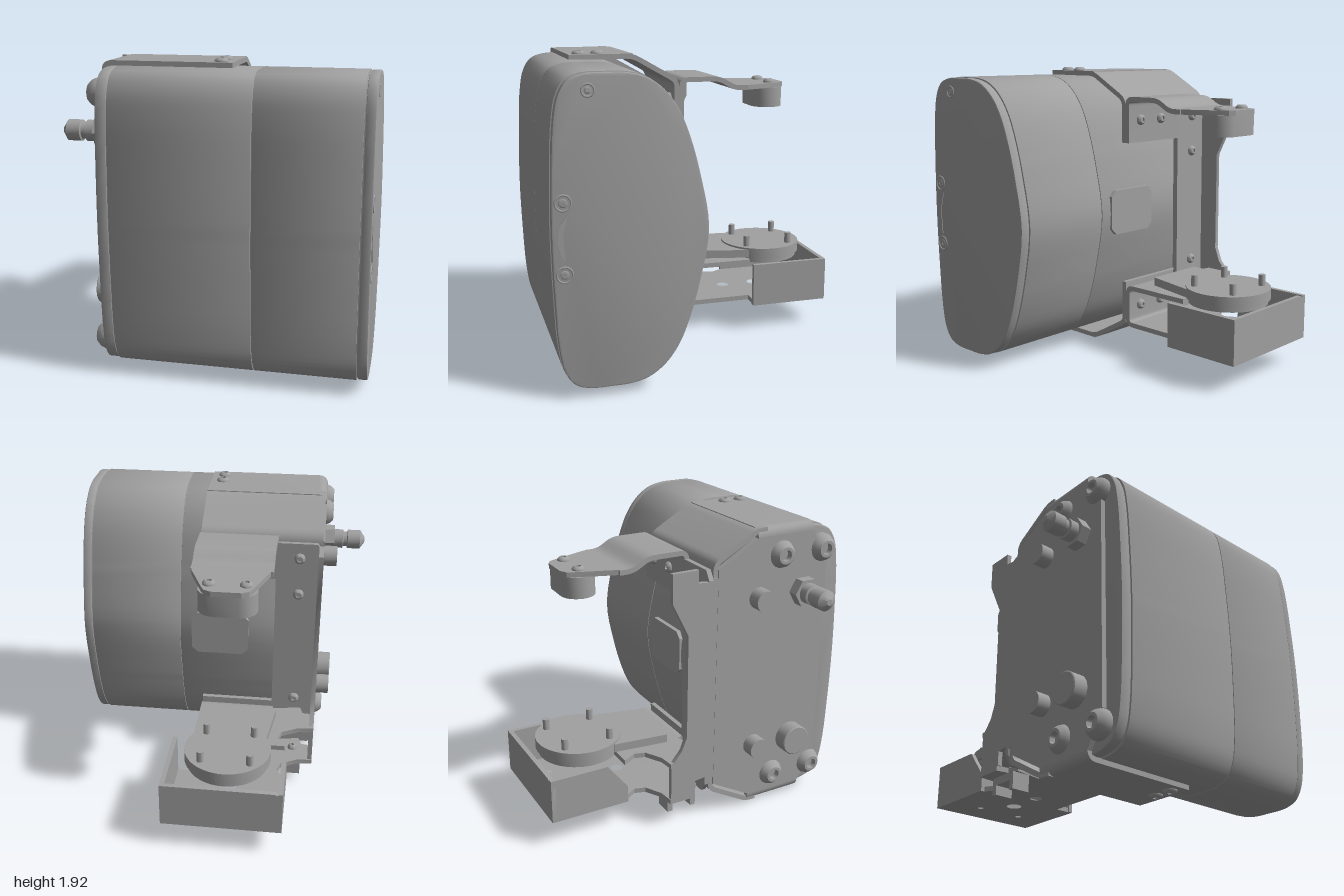
import * as THREE from 'three';
import { toCreasedNormals } from 'three/addons/utils/BufferGeometryUtils.js';

const MID = 0.975; // height of the mirror plane
const flip = pts => pts.map(([a, y]) => [a, 2 * MID - y]);
const V = (a, b) => new THREE.Vector2(a, b);

export function createModel() {
  const root = new THREE.Group();
  const grey = new THREE.MeshStandardMaterial({ color: 0xa0a0a0 });
  grey.name = 'metalGrey';

  const add = (name, geo, parent = root) => {
    const m = new THREE.Mesh(geo, grey);
    m.name = name;
    parent.add(m);
    return m;
  };
  const group = name => {
    const g = new THREE.Group();
    g.name = name;
    root.add(g);
    return g;
  };
  const extrude = (pts, depth, bevel = 0, holes = []) => {
    const s = new THREE.Shape(pts);
    s.holes = holes;
    const g = new THREE.ExtrudeGeometry(s, {
      depth: depth - 2 * bevel, bevelEnabled: bevel > 0, bevelSize: bevel,
      bevelThickness: bevel, bevelOffset: -bevel, bevelSegments: 2, curveSegments: 20,
    });
    g.translate(0, 0, bevel);
    return toCreasedNormals(g, 0.5);
  };
  // outlines given as [z, y], [x, z] or [x, y], swept along the third axis
  const alongX = (pts, x0, x1, bevel) =>
    extrude(pts.map(([z, y]) => V(-z, y)), x1 - x0, bevel).rotateY(Math.PI / 2).translate(x0, 0, 0);
  const alongY = (pts, y0, y1, holes) =>
    extrude(pts.map(([x, z]) => V(x, -z)), y1 - y0, 0, holes).rotateX(-Math.PI / 2).translate(0, y0, 0);
  const alongZ = (pts, z0, z1) => extrude(pts.map(([x, y]) => V(x, y)), z1 - z0).translate(0, 0, z0);

  // round the inner corners of an open path
  const fillet = (pts, r) => {
    const p = pts.map(q => V(...q)), out = [p[0]];
    for (let i = 1; i < p.length - 1; i++) {
      const a = p[i - 1].clone().sub(p[i]).setLength(r).add(p[i]);
      const b = p[i + 1].clone().sub(p[i]).setLength(r).add(p[i]);
      out.push(...new THREE.QuadraticBezierCurve(a, p[i], b).getPoints(6));
    }
    out.push(p[p.length - 1]);
    return out;
  };
  // bent sheet metal: thicken a path to a closed outline
  const sheet = (pts, t = 0.032, r = 0.045) => {
    const p = fillet(pts, r), left = [], right = [];
    p.forEach((q, i) => {
      const d = p[Math.min(i + 1, p.length - 1)].clone().sub(p[Math.max(i - 1, 0)]).setLength(t / 2);
      left.push([q.x - d.y, q.y + d.x]);
      right.unshift([q.x + d.y, q.y - d.x]);
    });
    return [...left, ...right];
  };
  const place = (mesh, pos, dir) => {
    mesh.position.set(...pos);
    mesh.quaternion.setFromUnitVectors(new THREE.Vector3(0, 1, 0), new THREE.Vector3(...dir));
    return mesh;
  };
  const lathe = (name, pts, pos, dir, parent, seg = 28) => place(add(name,
    toCreasedNormals(new THREE.LatheGeometry(pts.map(p => V(...p)), seg), 0.6), parent), pos, dir);
  const screw = (pos, dir, r, h, parent) => lathe('screw', [[r, 0], [r, h * 0.3], [r * 0.85, h * 0.7],
    [r * 0.6, h], [r * 0.4, h], [r * 0.4, h * 0.5], [0, h * 0.5]], pos, dir, parent, 24);
  const cyl = (name, r, h, pos, dir, parent, seg = 32) => lathe(name, [[0, 0], [r, 0], [r, h], [0, h]], pos, dir, parent, seg);

  // housing: one rounded outline cut into sections by narrow grooves
  const half = [[1, MID], [0.993, 1.3], [0.975, 1.62], [0.945, 1.77], [0.89, 1.85], [0.8, 1.882], [0.68, 1.885],
    [0.56, 1.882], [0.45, 1.855], [0.35, 1.785], [0.27, 1.68], [0.205, 1.53], [0.135, 1.28], [0.085, MID]];
  const ring = [...half, ...flip(half).slice(1, -1).reverse()];
  const curve = new THREE.CatmullRomCurve3(ring.map(([z, y]) => new THREE.Vector3(z, y, 0)), true);
  const outline = (inset = 0) => curve.getPoints(110).slice(0, -1).map(p => [
    0.54 + (p.x - 0.54) * (1 - inset / 0.46), MID + (p.y - MID) * (1 - inset / 0.91)]);
  const housing = group('housing');
  add('core', alongX(outline(0.012), -0.64, 0.93), housing);
  [[-0.65, -0.582, 0.006], [-0.576, 0.268, 0], [0.273, 0.886, 0], [0.893, 0.95, 0.004]].forEach(([a, b, inset], i) =>
    add('housingSection' + (i + 1), alongX(outline(inset), a, b, i % 3 ? 0.002 : 0.008), housing));

  // end cap fittings
  for (const [z, y, r] of [[0.93, 1.18, 0.045], [0.93, 0.77, 0.045], [0.78, 1.79, 0.035]]) {
    const t = add('capRing', new THREE.TorusGeometry(r, 0.006, 8, 24).rotateY(Math.PI / 2));
    t.position.set(0.949, y, z);
    screw([0.945, y, z], [1, 0, 0], r * 0.65, 0.008, root);
  }
  add('capRecess', alongX([[0.9, 1.12], [0.95, 1.06], [0.968, 0.98], [0.955, 0.9], [0.925, 0.84], [0.935, 1.0]], 0.945, 0.954));

  // pad on the back of the housing
  const pad = [[-0.2, 0.87], [-0.16, 0.83], [0.15, 0.83], [0.19, 0.87], [0.19, 1.09], [0.15, 1.13], [-0.16, 1.13], [-0.2, 1.09]];
  add('rearPad', alongZ(pad, 0.073, 0.13));

  // bracket clamped around the housing, top and bottom alike
  const bracket = group('housingBracket');
  add('sidePlate', alongX([[0.74, 1.86], [0.34, 1.86], [0.055, 1.7], [0.055, 0.25], [0.34, 0.09], [0.74, 0.09], [0.86, 0.3], [0.86, 1.65]],
    -0.682, -0.648), bracket);
  for (const side of [p => p, flip]) {
    const up = side === flip ? -1 : 1;
    const y = v => side([[0, v]])[0][1];
    add('flange', alongZ(sheet(side([[-0.665, 1.8], [-0.665, 1.9], [0.11, 1.9]])), 0.33, 0.74), bracket);
    add('slopedFlange', alongX(sheet(side([[0.4, 1.9], [0.33, 1.9], [0.039, 1.735], [0.039, 1.45]])), -0.672, 0.11), bracket);
    for (const z of [0.545, 0.665]) screw([0.03, y(1.913), z], [0, up, 0], 0.042, 0.024, bracket);
    for (const z of [0.51, 0.82]) screw([-0.65, y(1.735), z], [-1, 0, 0], 0.09, 0.08, bracket);
    cyl('sidePin', 0.068, 0.12, [-0.65, y(1.48), 0.35], [-1, 0, 0], bracket);
  }
  add('backStrip', alongZ([[-0.68, 0.3], [-0.41, 0.3], [-0.41, 1.65], [-0.68, 1.65]], 0.023, 0.055), bracket);

  // connector and knob on the end
  const plug = group('connector');
  cyl('hexNut', 0.095, 0.1, [-0.65, 1.48, 0.675], [-1, 0, 0], plug, 6);
  lathe('plug', [[0.065, 0], [0.065, 0.06], [0.052, 0.065], [0.052, 0.09], [0.065, 0.095], [0.065, 0.18], [0.02, 0.212], [0, 0.212]],
    [-0.748, 1.48, 0.675], [-1, 0, 0], plug);
  lathe('knob', [[0.11, 0], [0.11, 0.025], [0.1, 0.03], [0.1, 0.125], [0.094, 0.13], [0, 0.13]], [-0.645, 0.46, 0.64], [-1, 0, 0], root);

  // yoke: upright with a stiffening flange, joining upper and lower arms
  const yoke = group('yoke');
  add('upright', alongZ([[-0.68, 0.26], [-0.64, 0.2], [-0.38, 0.2], [-0.38, 1.7], [-0.64, 1.7], [-0.68, 1.64]], -0.008, 0.023), yoke);
  add('uprightFlange', alongX([[0.01, 1.63], [-0.08, 1.64], [-0.08, 1.72], [-0.255, 1.72], [-0.255, 1.54], [-0.145, 1.32],
    [-0.145, 0.64], [-0.18, 0.55], [-0.255, 0.46], [-0.255, 0.22], [-0.08, 0.22], [-0.08, 0.31], [0.01, 0.32]], -0.68, -0.65), yoke);
  for (const y of [1.6, 1.35, 0.56, 0.33]) {
    const xs = y === 1.6 || y === 0.33 ? [-0.53, -0.2, 0] : [-0.53];
    for (const x of xs) {
      screw([x, y, -0.008], [0, 0, -1], 0.035, 0.025, yoke);
      screw([x, y, 0.05], [0, 0, 1], 0.05, 0.035, yoke);
    }
  }

  // upper arm with its rounded end block
  const upper = group('upperArm');
  add('bentArm', alongX(sheet([[0.008, 1.45], [0.008, 1.74], [-0.255, 1.74], [-0.36, 1.677], [-0.45, 1.677]]), -0.39, 0.11), upper);
  add('armTip', alongY([[-0.39, -0.4], [-0.29, -0.7], [-0.27, -0.74], [-0.23, -0.762], [-0.05, -0.762], [-0.01, -0.74],
    [0.01, -0.7], [0.1, -0.47], [0.11, -0.4]], 1.661, 1.693), upper);
  const block = [];
  for (let i = 0; i <= 24; i++) {
    const a = i / 24 * Math.PI * 2;
    block.push([-0.14 + (Math.cos(a) >= 0 ? 0.07 : -0.07) + Math.cos(a) * 0.108, -0.648 + Math.sin(a) * 0.108]);
  }
  add('endBlock', alongY(block, 1.53, 1.662), upper);
  for (const x of [-0.25, -0.03]) screw([x, 1.692, -0.655], [0, 1, 0], 0.04, 0.024, upper);

  // lower arm: two plates joined by a bend
  const lower = group('lowerArm');
  add('bend', alongX(sheet([[-0.25, 0.464], [0.008, 0.464], [0.008, 0.205], [-0.25, 0.205]]), -0.39, 0.11), lower);
  const plan = [[-0.68, -0.09], [-0.68, -0.26], [-0.58, -0.27], [-0.47, -0.33], [-0.45, -0.4], [-0.5, -0.49], [0.11, -0.49],
    [0.11, -0.05], [-0.36, -0.05], [-0.58, -0.01], [-0.6, -0.08]];
  const hole = (x, z, r) => new THREE.Path().absarc(x, -z, r, 0, Math.PI * 2, true);
  add('upperPlate', alongY(plan, 0.448, 0.48), lower);
  add('lowerPlate', alongY(plan, 0.189, 0.221, [hole(-0.15, -0.2, 0.04), hole(-0.15, -0.38, 0.04)]), lower);
  add('neck', alongY([[-0.42, -0.14], [0, -0.14], [0.08, -0.5], [-0.38, -0.5]], 0.485, 0.54), lower);

  // turntable disc with pins
  const table = group('turntable');
  cyl('discMount', 0.26, 0.035, [-0.145, 0.448, -0.655], [0, 1, 0], table, 48);
  cyl('disc', 0.276, 0.072, [-0.145, 0.48, -0.655], [0, 1, 0], table, 56);
  for (const x of [-0.3, 0.01]) for (const z of [-0.5, -0.81]) cyl('pin', 0.022, 0.075, [x, 0.55, z], [0, 1, 0], table, 16);

  // tray below the turntable
  const tray = group('tray');
  add('trayFloor', alongY([[-0.52, -0.48], [-0.52, -1], [0.24, -1], [0.24, -0.48]], 0.189, 0.221,
    [hole(-0.15, -0.62, 0.05), hole(-0.3, -0.8, 0.02), hole(0.02, -0.8, 0.02)]), tray);
  add('trayBack', alongZ([[-0.52, 0.19], [0.24, 0.19], [0.24, 0.48], [-0.47, 0.48], [-0.505, 0.465], [-0.52, 0.43]], -1, -0.97), tray);
  add('trayRightWall', alongX([[-0.47, 0.19], [-0.47, 0.48], [-1, 0.48], [-1, 0.19]], 0.21, 0.24), tray);
  add('trayLeftWall', alongX([[-0.48, 0.19], [-0.48, 0.3], [-0.62, 0.48], [-1, 0.48], [-1, 0.19]], -0.52, -0.49), tray);

  // small clip under the lower arm
  const clip = group('clip');
  add('clipBody', alongX([[-0.03, 0.08], [-0.03, 0.19], [-0.235, 0.19], [-0.235, 0.08], [-0.2, 0.08], [-0.2, 0.14],
    [-0.065, 0.14], [-0.065, 0.08]], -0.6, -0.48), clip);
  screw([-0.54, 0.22, -0.13], [0, 1, 0], 0.03, 0.03, clip);
  return root;
}
